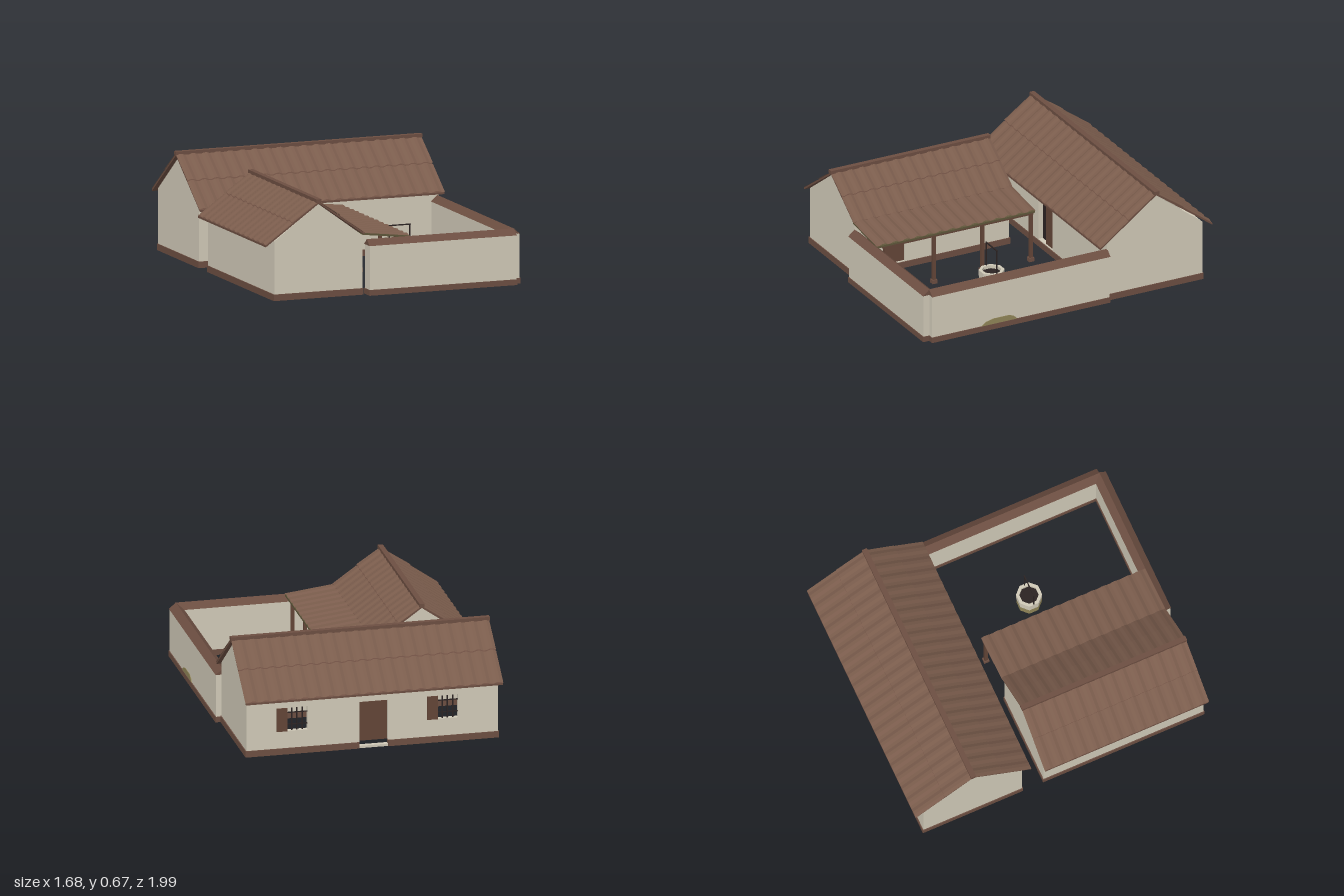
import * as THREE from 'three';

const mat = (name, color, side = THREE.FrontSide) => {
  const m = new THREE.MeshStandardMaterial({ color, side, flatShading: true });
  m.name = name;
  return m;
};

export function createModel() {
  const plaster = mat('plaster', 0xd0c9b7);
  const tile = mat('roof tile', 0x7a5c4c, THREE.DoubleSide);
  const trim = mat('brown trim', 0x6c4e41);
  const wood = mat('door wood', 0x634537);
  const dark = mat('dark iron', 0x2b2322);
  const moss = mat('moss', 0x8f8457, THREE.DoubleSide);
  const reed = mat('porch lining', 0x5f563a);

  const root = new THREE.Group();
  const group = (name) => {
    const g = new THREE.Group();
    g.name = name;
    root.add(g);
    return g;
  };
  const add = (parent, name, geo, m) => {
    const mesh = new THREE.Mesh(geo, m);
    mesh.name = name;
    parent.add(mesh);
    return mesh;
  };
  // Box given by its low and high corners
  const box = (parent, name, m, x0, x1, y0, y1, z0, z1) => {
    const mesh = add(parent, name, new THREE.BoxGeometry(x1 - x0, y1 - y0, z1 - z0), m);
    mesh.position.set((x0 + x1) / 2, (y0 + y1) / 2, (z0 + z1) / 2);
    return mesh;
  };
  const polygon = (pts) => new THREE.Shape(pts.map(([x, y]) => new THREE.Vector2(x, y)));
  // Outline extruded from 'from' to 'to' along x (outline in z, y) or along z (outline in x, y)
  const prism = (parent, name, m, axis, pts, from, to, holes = []) => {
    const shape = polygon(pts);
    for (const [a, b, y0, y1] of holes) {
      shape.holes.push(polygon([[a, y0], [a, y1], [b, y1], [b, y0]]));
    }
    const geo = new THREE.ExtrudeGeometry(shape, { depth: to - from, bevelEnabled: false });
    if (axis === 'x') geo.rotateY(-Math.PI / 2).translate(to, 0, 0);
    else geo.translate(0, 0, from);
    return add(parent, name, geo, m);
  };

  // Row of corrugated tiles from the upper point a to the lower point b
  const tileRow = (parent, axis, a, b, from, to) => {
    const waves = Math.round((to - from) / 0.08), n = waves * 4;
    const pos = [], index = [];
    const lift = [0, 0.008, 0.008, 0];
    for (let i = 0; i <= n; i++) {
      const w = from + (to - from) * i / n;
      for (const [u, y] of [a, b]) {
        const h = y + lift[i % 4];
        if (axis === 'x') pos.push(w, h, u);
        else pos.push(u, h, w);
      }
      if (i < n) {
        const k = i * 2;
        index.push(k, k + 1, k + 2, k + 1, k + 3, k + 2);
      }
    }
    const geo = new THREE.BufferGeometry();
    geo.setAttribute('position', new THREE.Float32BufferAttribute(pos, 3));
    const up = axis === 'x' ? b[0] > a[0] : b[0] < a[0];
    geo.setIndex(up ? index : index.reverse());
    const flat = geo.toNonIndexed();
    flat.computeVertexNormals();
    add(parent, 'tileRow', flat, tile);
  };
  // Roof slope: a thin lining with overlapping rows of tiles on it
  const slope = (parent, axis, a, b, from, to, rows, lining) => {
    const t = 0.012;
    prism(parent, 'roofLining', lining, axis,
      [a, b, [b[0], b[1] - t], [a[0], a[1] - t]], from + 0.003, to - 0.003);
    for (let r = 0; r < rows; r++) {
      const at = (f, lift) => [a[0] + (b[0] - a[0]) * f, a[1] + (b[1] - a[1]) * f + lift];
      tileRow(parent, axis, at(r / rows, 0.001), at((r + 1) / rows, r < rows - 1 ? 0.008 : 0.002), from, to);
    }
  };

  const T = 0.03;
  // Skirting ring around a house, with an optional doorway gap in the back
  const skirting = (g, x0, x1, z0, z1, gap) => {
    const e = 0.006, h = 0.04, w = 0.04;
    box(g, 'skirting', trim, x0 - e, x1 + e, 0, h, z1 - w + e, z1 + e);
    if (gap) {
      box(g, 'skirting', trim, x0 - e, gap[0], 0, h, z0 - e, z0 + w - e);
      box(g, 'skirting', trim, gap[1], x1 + e, 0, h, z0 - e, z0 + w - e);
    } else box(g, 'skirting', trim, x0 - e, x1 + e, 0, h, z0 - e, z0 + w - e);
    for (const x of [x0 - e, x1 + e - w]) box(g, 'skirting', trim, x, x + w, 0, h, z0 + w - e, z1 - w + e);
  };
  const rect = (a, b, h) => [[a, 0], [b, 0], [b, h], [a, h]];
  const gable = (a, b, h, top) => [[a, 0], [b, 0], [b, h], [(a + b) / 2, top], [a, h]];

  // Main house
  const main = group('mainHouse');
  const windows = [0.48, -0.465];
  prism(main, 'backWall', plaster, 'z', rect(-0.78, 0.8, 0.385), -0.935, -0.935 + T,
    [[-0.09, 0.09, 0.015, 0.3], ...windows.map((x) => [x - 0.065, x + 0.065, 0.15, 0.3])]);
  prism(main, 'frontWall', plaster, 'z', rect(-0.78, 0.8, 0.385), -0.275 - T, -0.275,
    [[-0.09, 0.09, 0.045, 0.31]]);
  for (const x of [-0.78, 0.8 - T]) {
    prism(main, 'gableWall', plaster, 'x', gable(-0.935, -0.275, 0.385, 0.632), x, x + T);
  }
  skirting(main, -0.78, 0.8, -0.935, -0.275, [-0.09, 0.09]);
  box(main, 'backDoor', wood, -0.085, 0.085, 0.045, 0.295, -0.925, -0.91);
  box(main, 'frontDoorLeaf', wood, -0.01, 0.088, 0.045, 0.305, -0.295, -0.283);
  box(main, 'doorwayPanel', dark, -0.18, 0, 0.045, 0.31, -0.314, -0.306);
  for (const x of windows) {
    box(main, 'shutter', wood, x + 0.065, x + 0.13, 0.15, 0.3, -0.943, -0.935);
    for (let i = -1; i <= 1; i++) {
      box(main, 'windowBar', dark, x + i * 0.033 - 0.004, x + i * 0.033 + 0.004, 0.15, 0.3, -0.926, -0.918);
    }
    for (const y of [0.185, 0.262]) box(main, 'windowBar', dark, x - 0.065, x + 0.065, y, y + 0.006, -0.925, -0.919);
  }
  for (const z of [-0.22, -0.995]) slope(main, 'x', [-0.607, 0.655], [z, 0.37], -0.8, 0.82, 2, trim);
  box(main, 'ridgeCap', trim, -0.803, 0.823, 0.648, 0.67, -0.625, -0.592);

  // Side house with porch
  const side = group('sideHouse');
  for (const z of [-0.13, 0.94 - T]) {
    prism(side, 'gableWall', plaster, 'z', gable(-0.78, -0.2, 0.37, 0.582), z, z + T);
  }
  prism(side, 'outerWall', plaster, 'x', rect(-0.13, 0.94, 0.37), -0.78, -0.78 + T);
  prism(side, 'courtyardWall', plaster, 'x', rect(-0.13, 0.94, 0.37), -0.2 - T, -0.2,
    [[0.59, 0.72, 0.045, 0.29]]);
  box(side, 'sideDoor', wood, -0.223, -0.21, 0.045, 0.285, 0.592, 0.718);
  skirting(side, -0.78, -0.2, -0.13, 0.94);
  slope(side, 'z', [-0.49, 0.598], [-0.84, 0.35], -0.148, 0.952, 2, trim);
  slope(side, 'z', [-0.49, 0.598], [-0.19, 0.385], -0.148, 0.952, 2, trim);
  slope(side, 'z', [-0.2, 0.384], [0.11, 0.346], -0.148, 0.952, 1, reed);
  box(side, 'ridgeCap', trim, -0.507, -0.475, 0.592, 0.614, -0.15, 0.955);
  for (const z of [-0.13, 0.205, 0.54, 0.875]) {
    box(side, 'porchPost', wood, 0.07, 0.09, 0, 0.325, z - 0.01, z + 0.01);
    box(side, 'postFoot', trim, 0.063, 0.097, 0, 0.025, z - 0.017, z + 0.017);
  }
  box(side, 'porchBeam', wood, 0.068, 0.092, 0.315, 0.337, -0.145, 0.9);

  // Courtyard walls with pitched copings
  const yard = group('courtyardWalls');
  const coping = (c) => [[c - 0.044, 0.308], [c + 0.044, 0.308], [c, 0.345]];
  box(yard, 'frontYardWall', plaster, -0.172, 0.797, 0.035, 0.31, 0.913, 0.993);
  box(yard, 'frontYardSkirting', trim, -0.175, 0.8, 0, 0.035, 0.908, 0.998);
  prism(yard, 'frontCoping', trim, 'x', coping(0.953), -0.175, 0.797);
  box(yard, 'rightYardWall', plaster, 0.753, 0.832, 0.035, 0.31, -0.275, 0.953);
  box(yard, 'rightYardSkirting', trim, 0.748, 0.838, 0, 0.035, -0.278, 0.956);
  prism(yard, 'rightCoping', trim, 'z', coping(0.793), -0.28, 0.953);
  prism(yard, 'mossPatch', moss, 'x',
    [[0.365, 0.035], [0.61, 0.035], [0.58, 0.058], [0.53, 0.07], [0.42, 0.07], [0.385, 0.056]], 0.832, 0.836);

  // Well: eight-sided ring with a mossy foot, dark water and an iron frame
  const well = group('well');
  well.position.set(0.32, 0, 0.268);
  const ring = (name, m, pts) => add(well, name,
    new THREE.LatheGeometry(pts.map(([r, y]) => new THREE.Vector2(r, y)), 8).rotateY(Math.PI / 8), m);
  ring('wellFoot', moss, [[0, 0], [0.078, 0], [0.078, 0.06]]);
  ring('wellRing', plaster, [[0.078, 0.06], [0.08, 0.13], [0.06, 0.13], [0.06, 0.08]]);
  const water = add(well, 'wellWater', new THREE.CylinderGeometry(0.06, 0.06, 0.01, 8), dark);
  water.rotation.y = Math.PI / 8;
  water.position.y = 0.105;
  for (const x of [-0.068, 0.068]) box(well, 'wellPole', dark, x - 0.003, x + 0.003, 0.12, 0.285, -0.003, 0.003);
  box(well, 'wellCrossbar', dark, -0.075, 0.075, 0.28, 0.287, -0.0035, 0.0035);

  return root;
}
